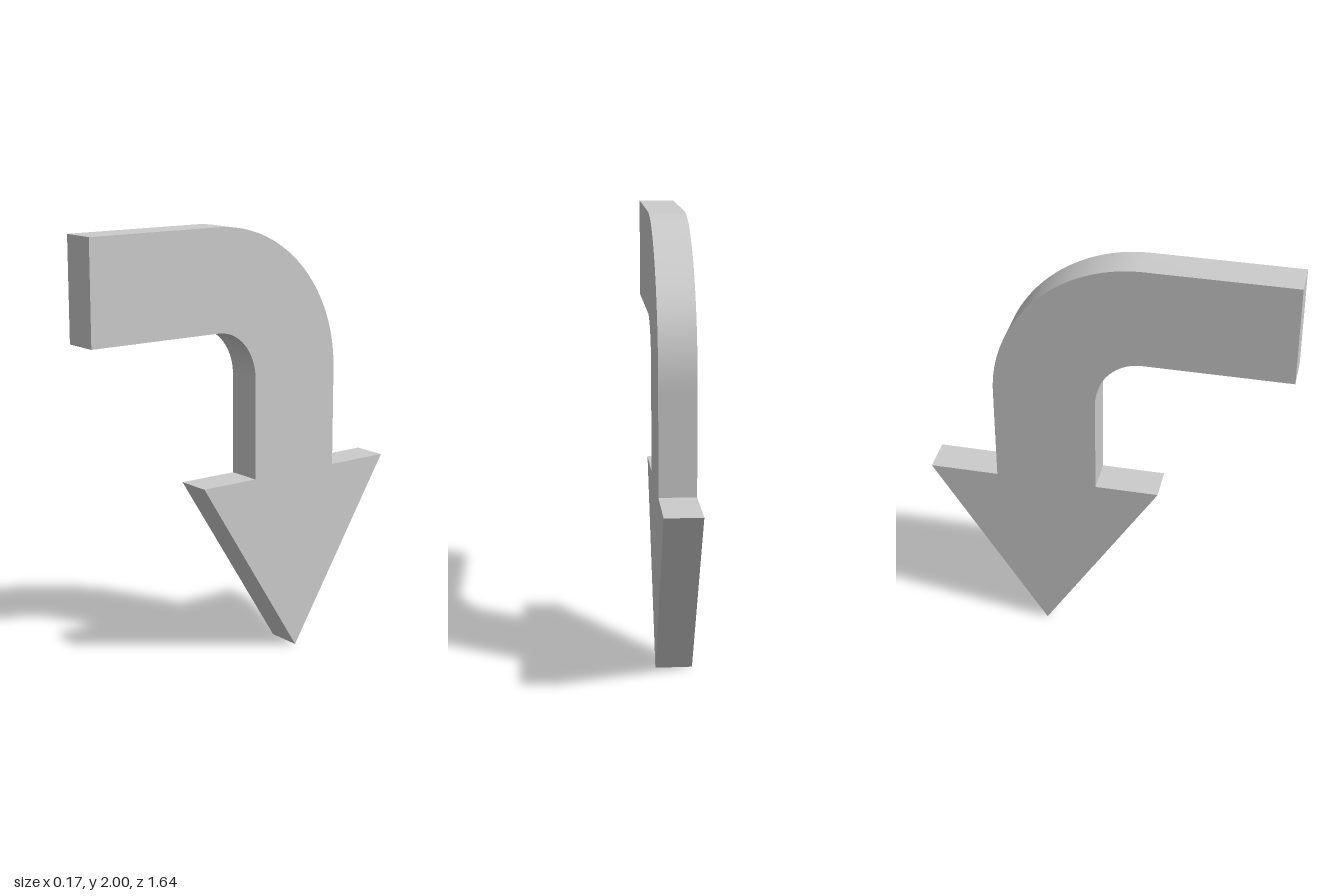
import * as THREE from 'three';
import { toCreasedNormals } from 'three/addons/utils/BufferGeometryUtils.js';

export function createModel() {
  const group = new THREE.Group();
  group.name = 'bentArrow';
  const thickness = 0.165;

  // Side outline: horizontal tail, elliptical bend, shaft and pointed head
  const bendX = -0.165, bendY = 1.31;
  const outline = new THREE.Shape();
  outline.moveTo(-0.82, 1.54);
  outline.lineTo(bendX, 1.54);
  outline.absellipse(bendX, bendY, 0.207, 0.23, Math.PI / 2, 0, true);
  outline.lineTo(0.042, 0.85);
  outline.lineTo(-0.246, 0.85);
  outline.lineTo(0.287, 0);
  outline.lineTo(0.82, 0.85);
  outline.lineTo(0.505, 0.85);
  outline.lineTo(0.505, bendY);
  outline.absellipse(bendX, bendY, 0.67, 0.69, 0, Math.PI / 2, false);
  outline.lineTo(-0.82, 2);
  outline.closePath();

  // Extrude across the thickness, then turn the tail towards the front
  const geometry = new THREE.ExtrudeGeometry(outline, {
    depth: thickness, bevelEnabled: false, curveSegments: 24,
  });
  geometry.translate(0, 0, -thickness / 2);
  geometry.rotateY(Math.PI / 2);

  const arrow = new THREE.Mesh(
    toCreasedNormals(geometry, Math.PI / 6),
    new THREE.MeshStandardMaterial({ color: 0xcccccc }),
  );
  arrow.name = 'arrow';
  group.add(arrow);
  return group;
}
